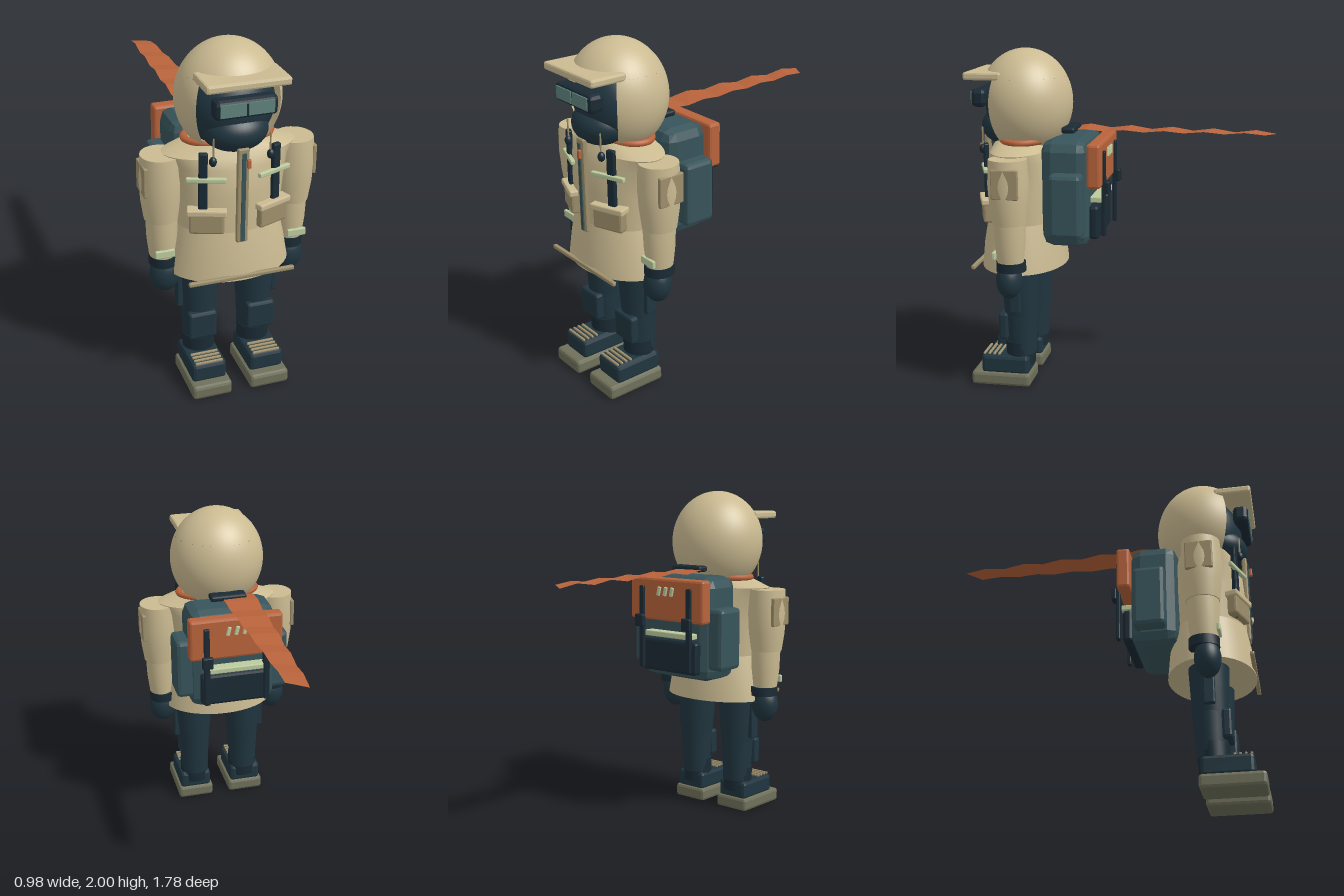
import * as THREE from 'three';
import { toCreasedNormals } from 'three/addons/utils/BufferGeometryUtils.js';
import { RoundedBoxGeometry } from 'three/addons/geometries/RoundedBoxGeometry.js';

const mat = (name, color, side = THREE.FrontSide) => {
  const m = new THREE.MeshStandardMaterial({ color, side });
  m.name = name;
  return m;
};

export function createModel() {
  const beige = mat('parka beige', 0xcbbb92, THREE.DoubleSide);
  const khaki = mat('khaki trim', 0x9e8f6b);
  const navy = mat('dark navy', 0x20353f);
  const black = mat('dark strap', 0x1a2a34);
  const teal = mat('pack teal', 0x37545a);
  const orange = mat('orange', 0xb8633b, THREE.DoubleSide);
  const pale = mat('reflective green', 0xbccb9e);
  const lensMat = mat('lens', 0x5f827c);
  const soleMat = mat('sole olive', 0x6f705a);

  const model = new THREE.Group();
  model.name = 'expeditionFigure';

  const add = (name, geo, material, pos = [0, 0, 0], rot = [0, 0, 0]) => {
    const m = new THREE.Mesh(geo, material);
    m.name = name;
    m.position.set(...pos);
    m.rotation.set(...rot);
    model.add(m);
    return m;
  };
  // box with chamfered edges
  const box = (name, material, size, pos, bevel = 0, rot) => {
    let g;
    if (bevel) {
      g = new RoundedBoxGeometry(...size, 1, bevel);
      if (g.index) g = g.toNonIndexed();
      g.computeVertexNormals();
    } else g = new THREE.BoxGeometry(...size);
    return add(name, g, material, pos, rot);
  };
  const ball = (name, material, r, pos, ...arc) => {
    const g = new THREE.SphereGeometry(1, 40, 28, ...arc);
    g.scale(...r);
    return add(name, g, material, pos);
  };
  // stacked elliptical cross-sections [y, rx, rz], bottom to top
  const stack = (name, material, rows, pos, sides = 40) => {
    const first = rows[0], last = rows[rows.length - 1];
    const all = [[first[0], 0, 0], ...rows, [last[0], 0, 0]];
    const g = new THREE.LatheGeometry(all.map(([y, rx]) => new THREE.Vector2(rx, y)), sides);
    const p = g.attributes.position;
    for (let i = 0; i < p.count; i++) {
      const [, rx, rz] = all[i % all.length];
      if (rx > 0) p.setZ(i, p.getZ(i) * rz / rx);
    }
    return add(name, toCreasedNormals(g, 0.5), material, pos);
  };

  // Hood: full crown above, open at the front below the brim
  const hoodR = [0.285, 0.31, 0.275], hoodC = [0, 1.69, 0.575], gap = 0.93, crown = 1.07;
  ball('hoodCrown', beige, hoodR, hoodC, 0, Math.PI * 2, 0, crown);
  ball('hoodShell', beige, hoodR, hoodC, Math.PI / 2 + gap, Math.PI * 2 - gap * 2, crown, Math.PI - crown);
  box('brim', beige, [0.45, 0.045, 0.22], [0, 1.853, 0.779], 0.012);
  ball('face', navy, [0.25, 0.25, 0.24], [0, 1.66, 0.57]);
  ball('faceMask', navy, [0.18, 0.12, 0.16], [0, 1.55, 0.68]);

  // Goggles
  box('goggles', black, [0.34, 0.105, 0.09], [0, 1.722, 0.818], 0.025);
  for (const s of [-1, 1]) box('lens', lensMat, [0.138, 0.068, 0.008], [s * 0.075, 1.724, 0.864]);

  // Parka
  stack('parkaTorso', beige, [[0.99, 0.29, 0.215], [1.2, 0.305, 0.218], [1.36, 0.33, 0.205],
    [1.42, 0.37, 0.18], [1.49, 0.16, 0.145]], [0, 0, 0.595]);
  stack('parkaSkirt', beige, [[0.72, 0.348, 0.254], [0.86, 0.322, 0.24], [1.0, 0.29, 0.215]], [0, 0, 0.595]);
  const scarf = new THREE.TorusGeometry(0.24, 0.022, 8, 40);
  scarf.rotateX(Math.PI / 2);
  scarf.scale(1, 0.8, 0.6);
  add('scarfCollar', scarf, orange, [0, 1.477, 0.575]);
  box('hemStrip', khaki, [0.6, 0.024, 0.024], [0, 0.743, 0.842], 0.006);
  box('zipPlacket', khaki, [0.064, 0.545, 0.03], [0, 1.218, 0.816], 0.008);
  box('zip', teal, [0.022, 0.51, 0.008], [0, 1.21, 0.834]);
  box('zipPull', orange, [0.022, 0.05, 0.02], [0.021, 1.412, 0.848], 0.005);

  for (const s of [-1, 1]) {
    const turn = [0, s * 0.35, 0];
    // Chest details
    box('shoulderStrap', black, [0.048, 0.46, 0.03], [s * 0.2, 1.24, 0.768], 0.008, turn);
    box('chestReflector', pale, [0.21, 0.027, 0.025], [s * 0.188, 1.32, 0.784], 0.006, turn);
    box('chestPocket', khaki, [0.185, 0.13, 0.06], [s * 0.18, 1.075, 0.775], 0.012, turn);
    box('pocketFlap', beige, [0.21, 0.036, 0.075], [s * 0.182, 1.135, 0.778], 0.008, turn);
    add('hoodCord', new THREE.CylinderGeometry(0.005, 0.005, 0.12, 8), khaki, [s * 0.155, 1.495, 0.8]);
    ball('cordToggle', black, [0.02, 0.027, 0.02], [s * 0.158, 1.428, 0.8]);

    // Arm
    const ax = s * 0.377;
    stack('upperArm', beige, [[1.04, 0.092, 0.096], [1.15, 0.108, 0.11], [1.27, 0.114, 0.118],
      [1.415, 0.107, 0.11]], [ax, 0, 0.592], 28);
    stack('forearm', beige, [[0.81, 0.07, 0.076], [0.92, 0.083, 0.087], [1.05, 0.088, 0.092]],
      [s * 0.373, 0, 0.592], 28);
    box('armPatch', khaki, [0.025, 0.17, 0.155], [s * 0.474, 1.285, 0.588], 0.006);
    box('cuffReflector', pale, [0.108, 0.044, 0.02], [s * 0.381, 0.857, 0.676], 0.005);
    stack('gloveCuff', black, [[0.76, 0.08, 0.086], [0.815, 0.08, 0.086]], [s * 0.366, 0, 0.59], 28);
    ball('glove', navy, [0.085, 0.11, 0.075], [s * 0.362, 0.7, 0.605]);

    // Leg
    const lx = s * 0.165;
    stack('thigh', navy, [[0.42, 0.097, 0.1], [0.58, 0.112, 0.108], [0.78, 0.125, 0.118]], [lx, 0, 0.59], 28);
    stack('shin', navy, [[0.19, 0.088, 0.085], [0.3, 0.092, 0.09], [0.44, 0.099, 0.1]], [lx, 0, 0.59], 28);
    stack('bootShaft', black, [[0.12, 0.092, 0.085], [0.27, 0.092, 0.09]], [lx, 0, 0.598], 28);
    box('kneePad', navy, [0.165, 0.165, 0.055], [s * 0.172, 0.368, 0.683], 0.014);
    box('thighPocket', navy, [0.035, 0.23, 0.065], [s * 0.28, 0.585, 0.597], 0.008);

    // Boot
    box('boot', navy, [0.2, 0.115, 0.29], [s * 0.17, 0.128, 0.675], 0.02);
    box('sole', soleMat, [0.23, 0.082, 0.36], [s * 0.17, 0.041, 0.7], 0.018);
    for (let i = 0; i < 4; i++)
      box('lace', khaki, [0.16, 0.014, 0.014], [s * 0.17, 0.19, 0.715 + i * 0.03], 0.004);

    // Pack sides
    box('packSidePocket', teal, [0.13, 0.37, 0.19], [s * 0.28, 1.135, 0.28], 0.025);
    box('packStrap', black, [0.035, 0.5, 0.024], [s * 0.183, 1.19, 0.08], 0.006);
    box('packBuckle', black, [0.065, 0.075, 0.03], [s * 0.183, 1.23, 0.058], 0.008);
  }

  // Backpack
  box('pack', teal, [0.53, 0.625, 0.28], [0, 1.188, 0.3], 0.065);
  box('packLid', orange, [0.565, 0.255, 0.08], [0, 1.362, 0.124], 0.015);
  box('packRearPocket', black, [0.42, 0.2, 0.06], [0, 1.02, 0.138], 0.018);
  box('packReflector', pale, [0.36, 0.034, 0.07], [0, 1.15, 0.13], 0.006);
  box('packHandle', black, [0.22, 0.036, 0.08], [0, 1.538, 0.305], 0.012);
  for (let i = -1; i <= 1; i++)
    box('lidMark', pale, [0.022, 0.055, 0.016], [i * 0.05, 1.412, 0.079], 0.004, [0, 0, 0.25]);

  // Streaming scarf tail: a rippled strip, tapering to a slanted end
  const n = 10, ribbon = new THREE.PlaneGeometry(1, 1, 1, n);
  const p = ribbon.attributes.position;
  for (let j = 0; j <= n; j++) {
    const t = j / n, wave = (j % 2 ? 1 : -1) * 0.009;
    const zl = 0.34 - 1.23 * t, zr = 0.34 - 1.16 * t;
    p.setXYZ(j * 2, -0.167 + 0.042 * t, 1.532 - 0.01 * t + wave, zl);
    p.setXYZ(j * 2 + 1, 0.04 - 0.055 * t, 1.532 - 0.006 * t + wave * 0.6, zr);
  }
  const flat = ribbon.toNonIndexed();
  flat.computeVertexNormals();
  // corner order faces down, so flip it to face up
  const up = flat.attributes.normal.getY(0) > 0;
  if (!up) {
    const q = flat.attributes.position, a = new THREE.Vector3(), b = new THREE.Vector3();
    for (let i = 0; i < q.count; i += 3) {
      a.fromBufferAttribute(q, i + 1);
      b.fromBufferAttribute(q, i + 2);
      q.setXYZ(i + 1, b.x, b.y, b.z);
      q.setXYZ(i + 2, a.x, a.y, a.z);
    }
    flat.computeVertexNormals();
  }
  add('scarfTail', flat, orange);

  return model;
}
